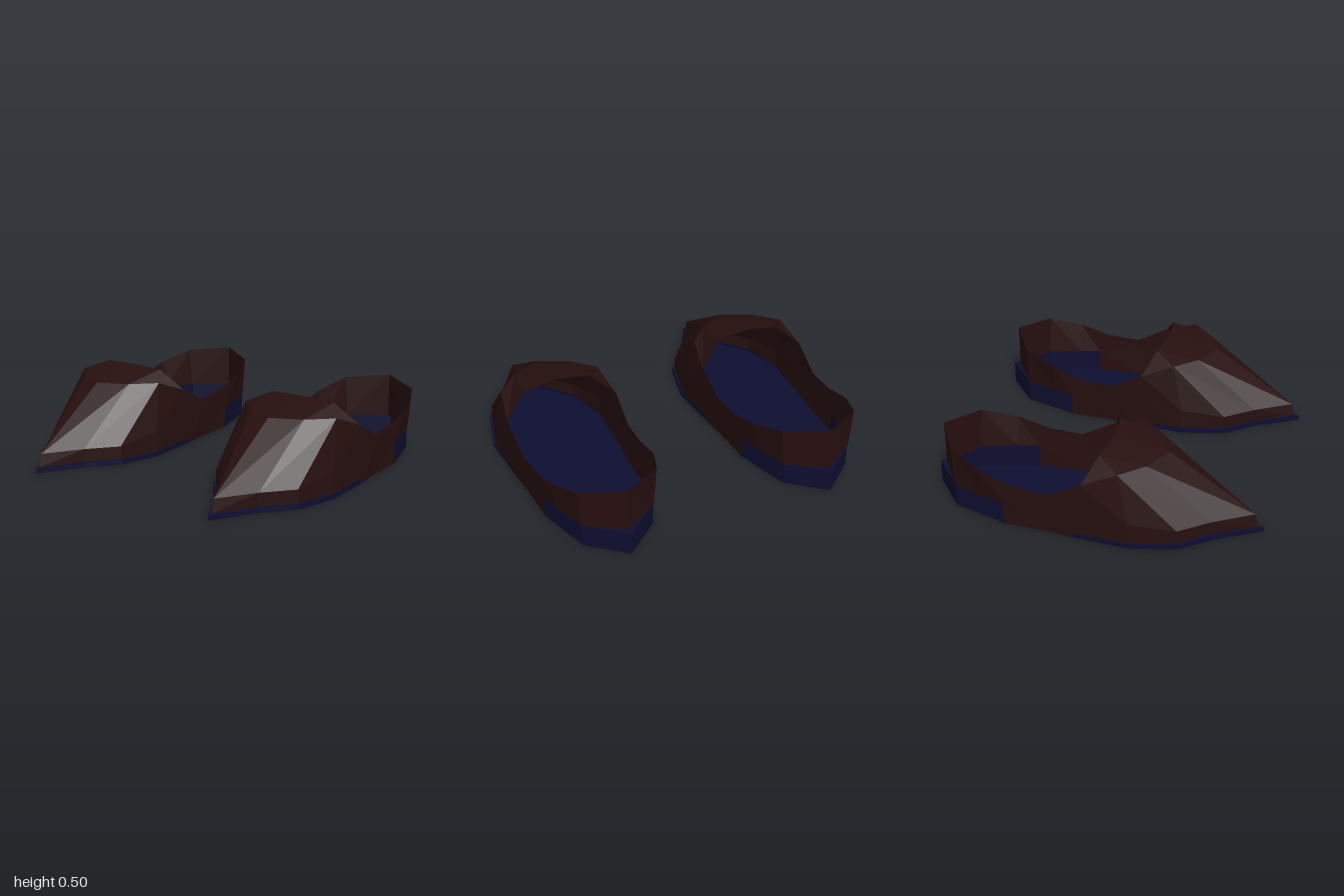
import * as THREE from 'three';

const brown = new THREE.MeshStandardMaterial({ color: 0x270f0f, flatShading: true, side: THREE.DoubleSide });
brown.name = 'dark brown';
const blue = new THREE.MeshStandardMaterial({ color: 0x0e0e30, flatShading: true, side: THREE.DoubleSide });
blue.name = 'navy blue';

// Half outlines running from toe tip to heel tip, as [x, y, z]
const ground = [[0, 0, 0.97], [0.145, 0, 0.72], [0.295, 0, 0.54], [0.36, 0, 0.28], [0.34, 0, -0.06],
  [0.325, 0, -0.2], [0.315, 0, -0.47], [0.276, 0, -0.6], [0.215, 0, -0.8], [0, 0, -0.98]];
const lower = [[0, 0.03, 0.94], [0.14, 0.03, 0.7], [0.28, 0.03, 0.53], [0.35, 0.03, 0.27], [0.34, 0, -0.06],
  ...ground.slice(5)];
const middle = [[0, 0.11, 0.92], [0.14, 0.11, 0.7], [0.28, 0.11, 0.53], [0.345, 0.15, 0.27], [0.345, 0.19, 0],
  [0.335, 0.2, -0.2], [0.315, 0.14, -0.47], [0.285, 0.14, -0.6], [0.22, 0.14, -0.8], [0, 0.14, -0.94]];
const ridge = [[0, 0.44, 0.42], [0.18, 0.44, 0.33], [0.31, 0.44, 0.2]];
const rim = [[0.345, 0.36, 0], [0.335, 0.255, -0.2], [0.325, 0.27, -0.4],
  [0.315, 0.328, -0.6], [0.24, 0.385, -0.8], [0, 0.41, -0.94]];
const upper = [...ridge, ridge[2], ...rim];
const throat = [[0, 0.5, 0.1], [0.21, 0.485, 0.07], rim[0]];

const atHeight = (row, y) => row.map(([x, , z]) => [x, y, z]);
const soleEdge = atHeight(ground, 0.03);
const heelEdge = atHeight(ground, 0.14);
const centre = ground.map(([, , z]) => [0, 0, z]);

// Triangulated strip between two rows, mirrored to both sides
function strip(list, a, b, from, to, flipRightAt = -1) {
  for (const s of [1, -1]) {
    for (let i = from; i < to; i++) {
      const [p, q, r, t] = [a[i], a[i + 1], b[i + 1], b[i]];
      const tris = s < 0 && i === flipRightAt ? [[p, q, t], [q, r, t]] : [[p, q, r], [p, r, t]];
      for (const tri of tris) {
        const ordered = s > 0 ? tri : [tri[0], tri[2], tri[1]];
        for (const [x, y, z] of ordered) list.push(s * x, y, z);
      }
    }
  }
}

function part(name, material, build) {
  const list = [];
  build(list);
  const geometry = new THREE.BufferGeometry();
  geometry.setAttribute('position', new THREE.Float32BufferAttribute(list, 3));
  geometry.computeVertexNormals();
  const mesh = new THREE.Mesh(geometry, material);
  mesh.name = name;
  return mesh;
}

function createShoe() {
  const shoe = new THREE.Group();
  shoe.add(
    // Flat bottom, thin front edge and its ledge
    part('sole', blue, (l) => {
      strip(l, centre, ground, 0, 9);
      strip(l, ground, soleEdge, 0, 4);
      strip(l, soleEdge, lower, 0, 4);
    }),
    // Taller band around the heel
    part('heelBand', blue, (l) => {
      strip(l, ground, heelEdge, 6, 9);
      strip(l, heelEdge, middle, 6, 9);
    }),
    // Low wall around toe and waist
    part('lowerWall', brown, (l) => strip(l, lower, middle, 0, 6)),
    // Sloping toe facets
    part('toeCap', brown, (l) => strip(l, middle, upper, 0, 2)),
    // Side panels and heel cup up to the open rim
    part('sidesAndHeelCup', brown, (l) => strip(l, middle, upper, 2, 9)),
    // Top of the foot, between toe ridge and opening
    part('instep', brown, (l) => strip(l, ridge, throat, 0, 2, 1)),
  );
  return shoe;
}

export function createModel() {
  const model = new THREE.Group();
  model.name = 'pairOfShoes';
  for (const [name, x] of [['leftShoe', 0.64], ['rightShoe', -0.64]]) {
    const shoe = createShoe();
    shoe.name = name;
    shoe.position.x = x;
    model.add(shoe);
  }
  return model;
}
